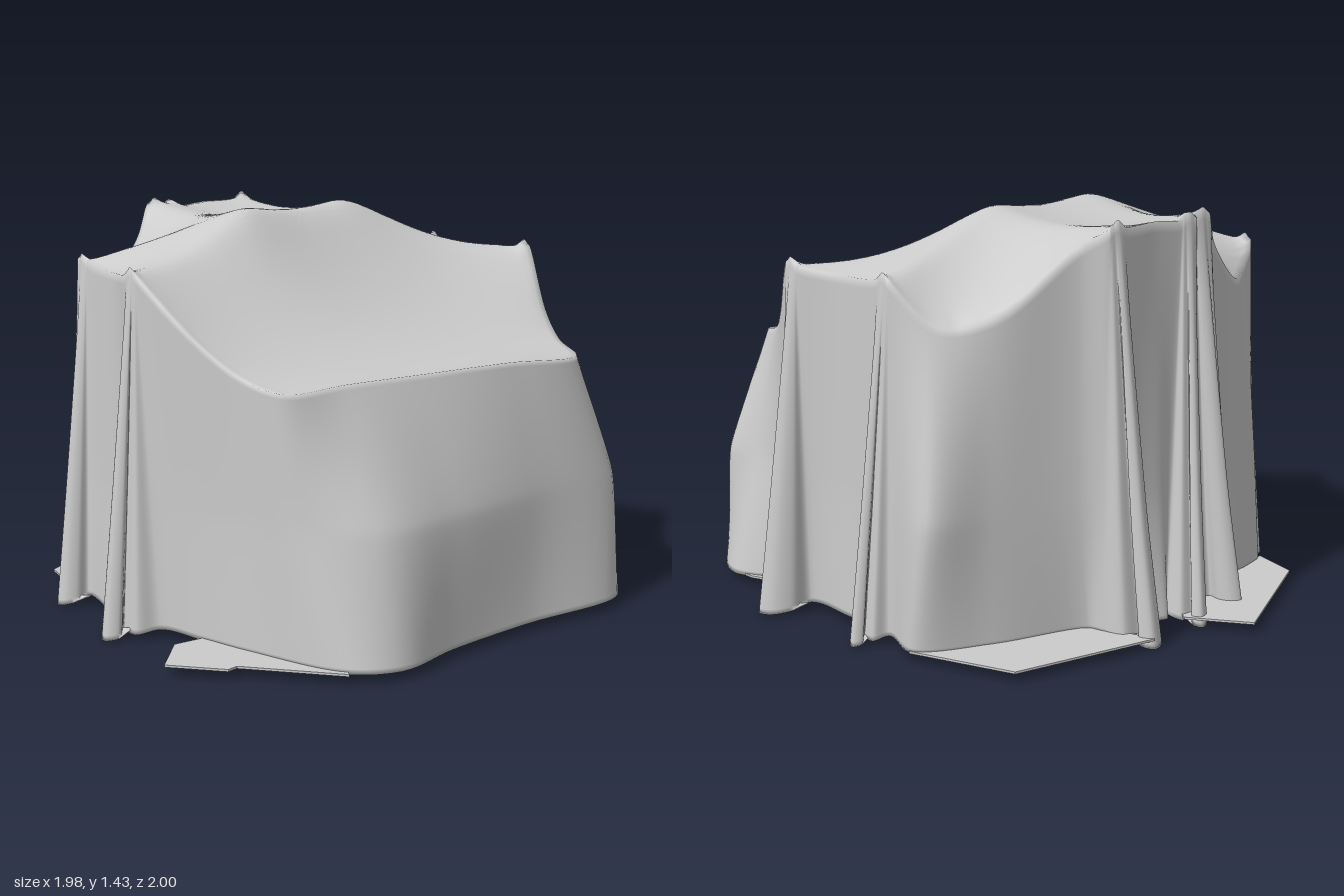
import * as THREE from 'three';

const V = (x, y, z) => new THREE.Vector3(x, y, z);
const material = new THREE.MeshStandardMaterial({ color: 0xcccccc, side: THREE.DoubleSide });
const loop = pts => new THREE.CatmullRomCurve3(pts, true, 'centripetal');
const MID = .47, FLOOR = .03;

// Points that hold the cloth up
const leftFront = V(.85, 1.27, .17), leftBack = V(.79, 1.27, -.29);
const backLeft = V(.15, 1.43, -.71), backInner = V(-.22, 1.42, -.66), backRight = V(-.29, 1.43, -.65);
const rightBack = V(-.75, 1.27, -.4), rightFront = V(-.83, 1.27, .06);
const ridgeRight = V(-.25, 1.45, -.07), ridgeLeft = V(.25, 1.45, -.14);

// Plain stretch of cloth: shoulder x, y, z, then x, z half-way down, then x, z of the hem
const span = rows => rows.map(([x, y, z, mx, mz, hx, hz]) =>
  ({ top: V(x, y, z), mid: V(mx, MID, mz), hem: V(hx, FLOOR, hz) }));

// Pleat: starts narrow at a peak and opens towards a curled hem.
// Curl points are [outwards, along the hem]; bend -1 mirrors the curl.
const curl = [[0, -.7], [.45, -.5], [.5, -.1], [.75, -.35], [1, -.2], [.9, .1], [.55, .3], [.1, .3]];
function pleat(peak, [ox, oz], [rootX, rootZ], length, bend) {
  const points = bend > 0 ? curl : curl.map(([o, a]) => [o, -a]).reverse();
  return points.map(([o, a], i) => {
    const off = (i - (curl.length - 1) / 2) * .01;
    const top = V(peak.x + oz * off, peak.y - Math.abs(off) * .8, peak.z - ox * off);
    const x = rootX + (ox * o + oz * a) * length, z = rootZ + (oz * o - ox * a) * length;
    const hem = V(x, FLOOR * (1 - o), z), mid = top.clone().lerp(hem, .62);
    mid.y = MID;
    return { top, mid, hem };
  });
}

// Front panel with a knee bulging on its right
const frontPanel = span([
  [-.65, .91, .69, -.63, .75, -.57, .92],
  [-.42, .92, .71, -.42, .92, -.41, 1],
  [-.1, .92, .71, -.08, .89, -.14, .93],
  [.3, .92, .71, .35, .81, .25, .87],
  [.62, .91, .7, .79, .73, .74, .82],
]);
const leftArm = span([[.69, .945, .54, .77, .58, .87, .6], [.77, 1.03, .38, .76, .42, .79, .42]]);
const leftSide = span([[.79, 1.225, -.05, .79, -.03, .8, -.03]]);
const backLeftCorner = span([
  [.7, 1.1, -.46, .81, -.54, .83, -.49],
  [.53, 1.13, -.57, .58, -.59, .58, -.6],
  [.26, 1.34, -.65, .27, -.67, .24, -.68],
]);
const back = span([[-.06, 1.4, -.67, -.05, -.72, -.05, -.77]]);
const backRightCorner = span([
  [-.41, 1.28, -.59, -.41, -.6, -.42, -.62],
  [-.58, 1.13, -.53, -.62, -.54, -.66, -.55],
  [-.69, 1.16, -.46, -.74, -.49, -.77, -.5],
]);
const rightSide = span([[-.77, 1.225, -.15, -.79, -.15, -.82, -.15]]);
const rightArm = span([[-.77, 1.06, .33, -.75, .34, -.75, .35], [-.71, .945, .53, -.7, .53, -.7, .56]]);

// Stations counter-clockwise around the cloth, starting at the front right corner
const stations = [
  ...frontPanel, ...leftArm,
  ...pleat(leftFront, [1, 0], [.8, .2], .18, 1), ...leftSide,
  ...pleat(leftBack, [1, 0], [.8, -.23], .11, -1), ...backLeftCorner,
  ...pleat(backLeft, [0, -1], [.1, -.73], .17, 1), ...back,
  ...pleat(backInner, [0, -1], [-.16, -.73], .12, 1),
  ...pleat(backRight, [0, -1], [-.35, -.69], .12, -1), ...backRightCorner,
  ...pleat(rightBack, [-1, 0], [-.78, -.37], .11, 1), ...rightSide,
  ...pleat(rightFront, [-1, 0], [-.8, .05], .17, -1), ...rightArm,
];

// Height of the sagging top: a stretched membrane relaxed between pinned ridges
function relaxTop(edge, ridges) {
  const EDGE = 1, RIDGE = 2, passes = 1500;
  const n = 100, h = 2.1 / n, w = n + 1;
  const y = new Float64Array(w * w).fill(1.2), pinned = new Uint8Array(w * w);
  const cell = v => Math.round((v + 1.05) / h);
  const pin = (p, kind) => {
    const k = cell(p.z) * w + cell(p.x);
    y[k] = p.y;
    pinned[k] = kind;
  };
  for (const [a, b, sag] of ridges) {
    for (let i = 0; i <= 80; i++) {
      const t = i / 80, p = a.clone().lerp(b, t);
      p.y -= 4 * sag * t * (1 - t);
      pin(p, RIDGE);
    }
  }
  for (let i = 0; i < 1500; i++) pin(edge.getPoint(i / 1500), EDGE);
  // the last passes free the ridges to round them off
  for (let pass = 0; pass < passes + 4; pass++) {
    for (let r = 1; r < n; r++) for (let c = 1; c < n; c++) {
      const k = r * w + c;
      if (pinned[k] === EDGE || (pinned[k] === RIDGE && pass < passes)) continue;
      y[k] = (y[k - 1] + y[k + 1] + y[k - w] + y[k + w]) / 4 - h * h * .42;
    }
  }
  return (x, z) => {
    const u = (x + 1.05) / h, v = (z + 1.05) / h, c = Math.floor(u), r = Math.floor(v);
    const k = r * w + c, fu = u - c, fv = v - r, mix = THREE.MathUtils.lerp;
    return mix(mix(y[k], y[k + 1], fu), mix(y[k + w], y[k + w + 1], fu), fv);
  };
}

// Whole cloth: rings across the top, then rows down the skirt
function makeDrape() {
  const [top, mid, bottom] = ['top', 'mid', 'hem'].map(level => loop(stations.map(s => s[level])));
  const height = relaxTop(top, [
    [ridgeRight, ridgeLeft, .03],
    [ridgeRight, rightFront, .06], [ridgeLeft, leftFront, .07],
    [ridgeRight, rightBack, .02], [ridgeLeft, leftBack, .02],
    [ridgeRight, backRight, .05], [ridgeLeft, backLeft, .05],
  ]);

  const around = stations.length * 8, rings = 36, rows = 30, total = rings + rows + 2;
  const pos = new Float32Array(around * total * 3), index = [];
  for (let j = 0; j < around; j++) {
    const t = j / around, shoulder = top.getPoint(t), hem = bottom.getPoint(t);
    const fall = new THREE.CatmullRomCurve3([shoulder, mid.getPoint(t), hem], false, 'catmullrom', .25);
    for (let i = 0; i < total; i++) {
      let p;
      if (i < rings) {
        const r = i / rings;
        p = V(shoulder.x * r, 0, -.105 + (shoulder.z + .105) * r);
        p.y = height(p.x, p.z);
      } else if (i <= rings + rows) {
        p = fall.getPoint((i - rings) / rows);
      } else {
        p = V(hem.x * .93, FLOOR + .005, hem.z * .93); // hem tucked under
      }
      p.toArray(pos, (i * around + j) * 3);
      if (i < total - 1) {
        const k = i * around + j, n = i * around + (j + 1) % around;
        if (i > 0) index.push(k, n + around, n);
        index.push(k, k + around, n + around);
      }
    }
  }
  const geometry = new THREE.BufferGeometry();
  geometry.setAttribute('position', new THREE.BufferAttribute(pos, 3));
  geometry.setIndex(index);
  geometry.computeVertexNormals();
  return geometry;
}

// Flat piece of spare cloth lying on the floor
function makeFlap(outline) {
  const shape = new THREE.Shape(outline.map(([x, z]) => new THREE.Vector2(x, -z)));
  const geometry = new THREE.ExtrudeGeometry(shape, { depth: .008, bevelEnabled: false });
  return geometry.rotateX(-Math.PI / 2).translate(0, FLOOR, 0);
}

export function createModel() {
  const group = new THREE.Group();
  const add = (name, geometry) => {
    const mesh = new THREE.Mesh(geometry, material);
    mesh.name = name;
    group.add(mesh);
  };
  add('drapedCloth', makeDrape());
  add('backLeftFlap', makeFlap([[.13, -.9], [.68, -.84], [.84, -.48], [.7, -.4], [.35, -.55], [.2, -.7]]));
  add('backRightFlap', makeFlap([[-.24, -1], [-.74, -.69], [-.78, -.5], [-.5, -.5], [-.2, -.62], [-.09, -.81]]));
  add('frontRightFlap', makeFlap([[-1, .51], [-.86, .67], [-.82, .66], [-.58, .94], [-.5, .8], [-.7, .35], [-.86, .35]]));
  add('frontLeftFlap', makeFlap([[.8, .4], [.85, .5], [.86, .62], [.8, .75], [.72, .81], [.58, .7], [.65, .45]]));
  return group;
}
